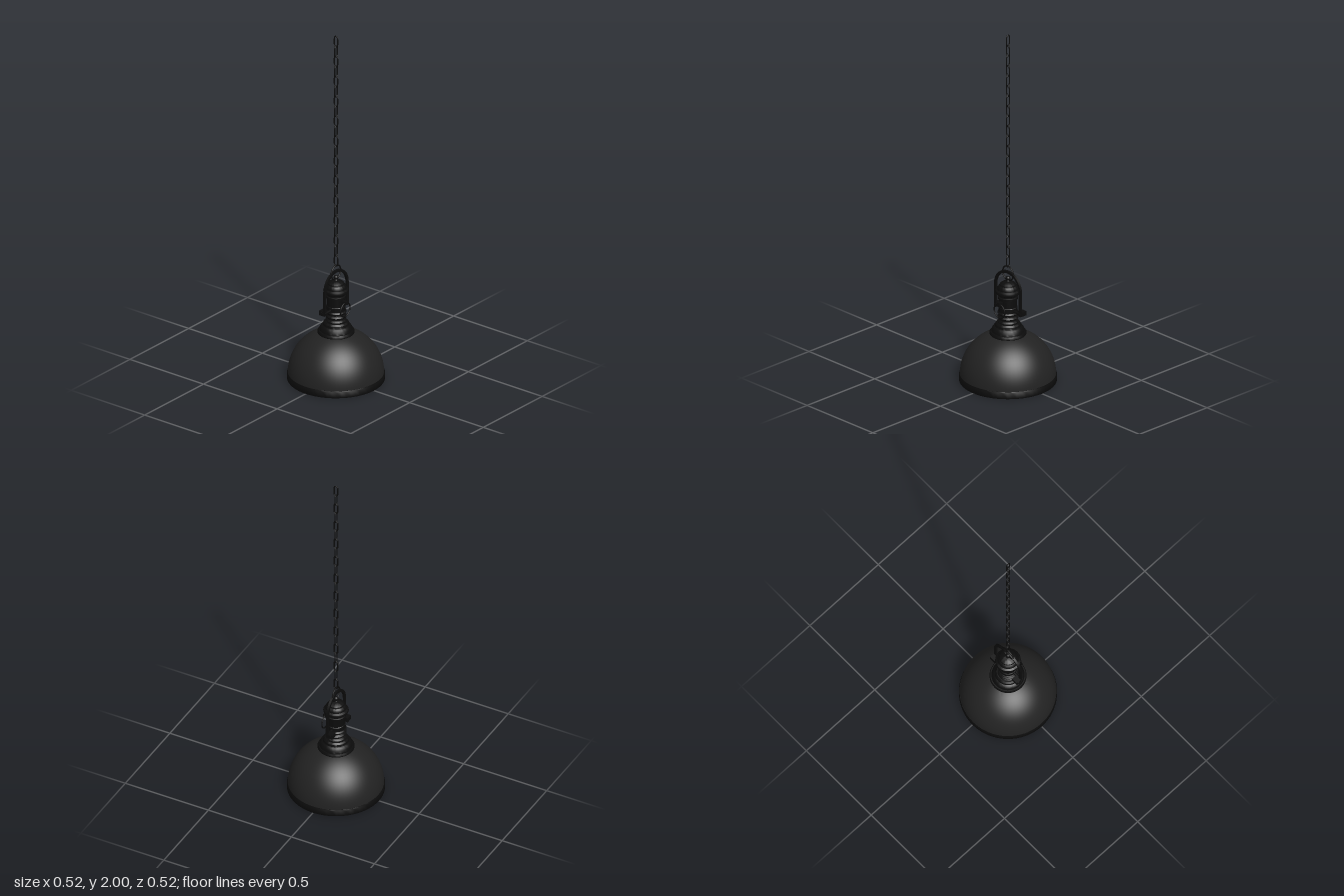
import * as THREE from 'three';
import { toCreasedNormals } from 'three/addons/utils/BufferGeometryUtils.js';

const shadeMat = new THREE.MeshStandardMaterial({ color: 0x222222 });
const metalMat = new THREE.MeshStandardMaterial({ color: 0x0c0c0c });

export function createModel() {
  const model = new THREE.Group();

  function add(name, geometry, material = metalMat, x = 0, y = 0, z = 0) {
    const mesh = new THREE.Mesh(geometry, material);
    mesh.name = name;
    mesh.position.set(x, y, z);
    model.add(mesh);
    return mesh;
  }
  const lathe = (pts, sides = 48) => toCreasedNormals(
    new THREE.LatheGeometry(pts.map(([r, y]) => new THREE.Vector2(r, y)), sides), 0.6);
  const tube = (pts, radius, segments, closed = false) => new THREE.TubeGeometry(
    new THREE.CatmullRomCurve3(pts, closed), segments, radius, 8, closed);

  // Hollow dome: up the outside, back down the inside
  const dome = [];
  const N = 18;
  const top = Math.acos(0.07 / 0.256);
  for (let i = 0; i <= N; i++) {
    const a = (i / N) * top;
    dome.push([0.256 * Math.cos(a), 0.036 + 0.25 * Math.sin(a)]);
  }
  for (let i = N; i >= 0; i--) {
    const a = (i / N) * top;
    dome.push([0.25 * Math.cos(a), 0.036 + 0.244 * Math.sin(a)]);
  }
  add('domeShade', lathe(dome, 64), shadeMat);

  // Band around the open edge
  add('rimBand', lathe([[0.25, 0], [0.258, 0], [0.26, 0.003], [0.26, 0.034],
    [0.257, 0.04], [0.249, 0.04], [0.25, 0]], 64));

  // Stepped collar clamping the dome
  add('collar', lathe([[0, 0.265], [0.094, 0.265], [0.098, 0.27], [0.098, 0.28],
    [0.094, 0.286], [0.088, 0.286], [0.086, 0.3], [0.078, 0.312], [0.07, 0.316],
    [0.068, 0.328], [0.06, 0.336], [0, 0.336]]));

  // Ribbed neck
  const neck = [[0, 0.33]];
  for (let i = 0; i < 3; i++) {
    const y = 0.335 + i * 0.025;
    neck.push([0.046, y], [0.054, y + 0.004], [0.057, y + 0.009],
      [0.054, y + 0.014], [0.046, y + 0.018]);
  }
  neck.push([0.046, 0.41], [0, 0.41]);
  add('ribbedNeck', lathe(neck));

  // Socket housing with bands
  add('socketHousing', lathe([[0, 0.4], [0.05, 0.4], [0.05, 0.425], [0.047, 0.428],
    [0.047, 0.47], [0.053, 0.473], [0.053, 0.484], [0.047, 0.487], [0.047, 0.505], [0, 0.505]]));

  // Tiered cap and finial
  add('cap', lathe([[0, 0.497], [0.055, 0.497], [0.066, 0.506], [0.068, 0.514], [0.066, 0.521],
    [0.056, 0.527], [0.056, 0.536], [0.05, 0.546], [0.045, 0.55], [0.043, 0.558],
    [0.03, 0.567], [0.02, 0.57], [0.012, 0.573], [0.009, 0.58], [0, 0.58]]));
  add('finial', new THREE.SphereGeometry(0.013, 20, 12), metalMat, 0, 0.588, 0);

  // Arched yoke made from a flat strap
  const strap = new THREE.Shape();
  strap.moveTo(0.101, 0.395);
  strap.lineTo(0.101, 0.53);
  strap.absarc(0, 0.53, 0.101, 0, Math.PI, false);
  strap.lineTo(-0.101, 0.395);
  strap.lineTo(-0.087, 0.395);
  strap.lineTo(-0.087, 0.53);
  strap.absarc(0, 0.53, 0.087, Math.PI, 0, true);
  strap.lineTo(0.087, 0.395);
  const yoke = new THREE.ExtrudeGeometry(strap, { depth: 0.012, bevelEnabled: false, curveSegments: 28 });
  yoke.translate(0, 0, -0.006);
  add('yoke', toCreasedNormals(yoke, 0.6));

  // Pivot rod, clamp blocks and bolts on both sides
  add('pivotRod', new THREE.CylinderGeometry(0.008, 0.008, 0.2, 16).rotateZ(Math.PI / 2), metalMat, 0, 0.409, 0);
  for (const s of [-1, 1]) {
    add('clampBlock', new THREE.BoxGeometry(0.036, 0.025, 0.032), metalMat, s * 0.086, 0.408, -0.018);
    add('clampBolt', new THREE.CylinderGeometry(0.011, 0.011, 0.008, 6).rotateZ(Math.PI / 2),
      metalMat, s * 0.104, 0.408, -0.018);
  }

  // Front lug with a hanging pull ring
  add('ringLug', new THREE.BoxGeometry(0.02, 0.018, 0.032), metalMat, 0, 0.457, 0.056);
  add('pullRing', new THREE.TorusGeometry(0.04, 0.0035, 8, 36), metalMat, 0, 0.417, 0.063);

  // Hanging loop over the top of the yoke
  add('hangingLoop', new THREE.TorusGeometry(0.04, 0.004, 8, 36), metalMat, 0, 0.618, 0);

  // Chain of oval links, each turned a quarter from the last
  const outline = [];
  for (let e = 0; e < 2; e++) {
    for (let i = 0; i <= 6; i++) {
      const a = e * Math.PI + (i / 6) * Math.PI;
      outline.push(new THREE.Vector3(0.0105 * Math.cos(a), 0.0105 * Math.sin(a) + (e ? -0.02 : 0.02), 0));
    }
  }
  const linkGeometry = tube(outline, 0.0035, 40, true);
  for (let i = 0; i < 23; i++) {
    const link = add('chainLink', linkGeometry, metalMat, 0, 1.966 - i * 0.0582, 0);
    link.rotation.y = i % 2 ? 0 : Math.PI / 2;
  }

  return model;
}
